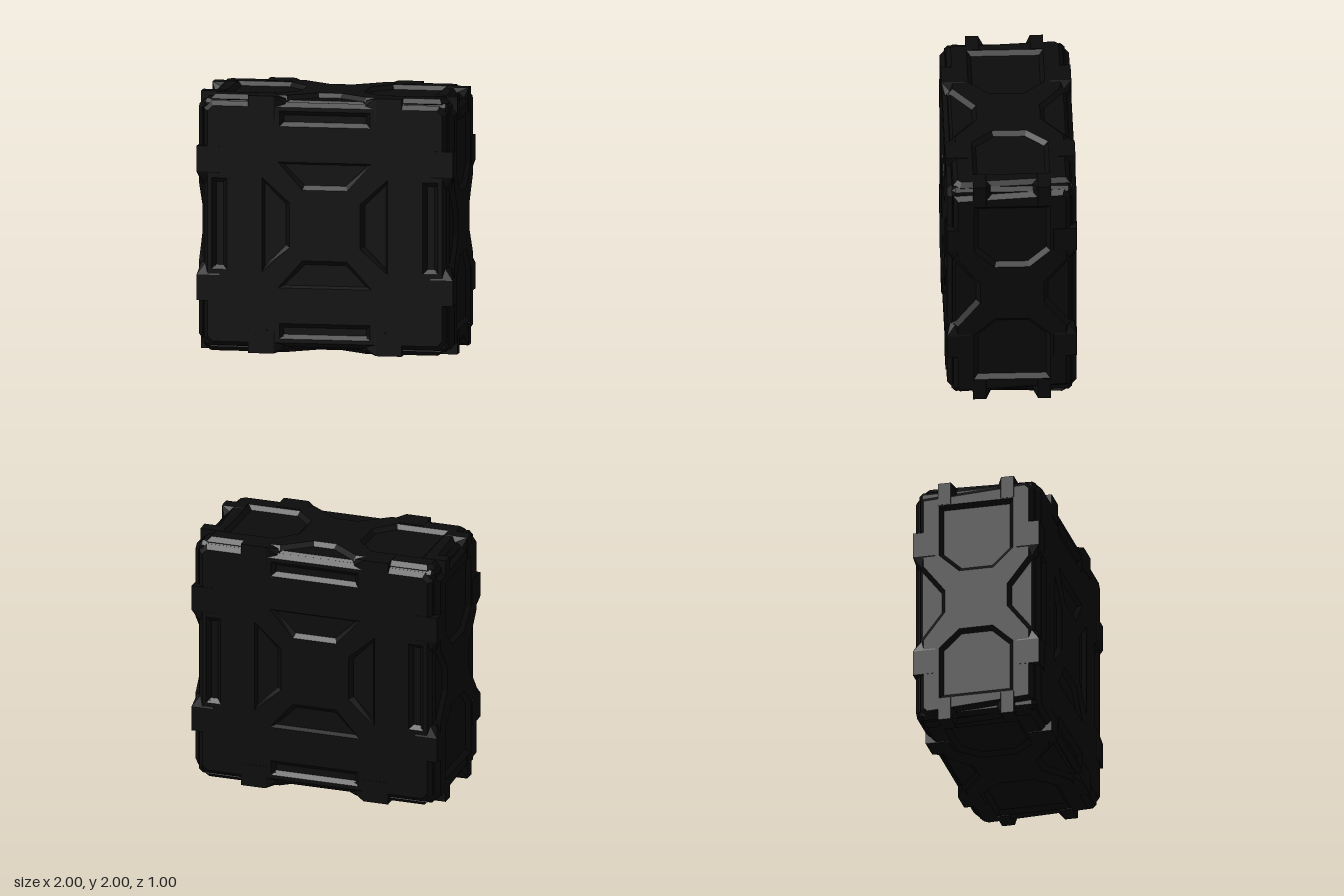
import * as THREE from 'three';
import { ConvexGeometry } from 'three/addons/geometries/ConvexGeometry.js';

const HALF = [1, 1, 0.5];   // half sizes of the block
const BEVEL = 0.035;        // depth and slope of the sunken panels

const toPoints = (pairs) => pairs.map(([x, y]) => new THREE.Vector2(x, y));
const turn = (pairs, angle) =>
  toPoints(pairs).map((p) => p.rotateAround(new THREE.Vector2(), angle));

// Armour plate whose rim and openings slope down to the core
function plateGeometry(outline, holes) {
  const shape = new THREE.Shape(outline);
  shape.holes = holes.map((h) => new THREE.Path(h));
  return new THREE.ExtrudeGeometry(shape, {
    depth: 0.001, bevelEnabled: true, bevelSegments: 1,
    bevelThickness: BEVEL, bevelSize: BEVEL, bevelOffset: -BEVEL,
  });
}

// Large square face: four trapezoid recesses around an X, each with an outer slot
function widePlate() {
  const e = 0.95, c = 0.89;
  const outline = toPoints([[-c, -e], [c, -e], [e, -c], [e, c], [c, e], [-c, e], [-e, c], [-e, -c]]);
  const trapezoid = [[-0.16, 0.31], [0.16, 0.31], [0.32, 0.47], [-0.32, 0.47]];
  const slot = [[-0.32, 0.8], [0.32, 0.8], [0.32, 0.85], [-0.32, 0.85]];
  const holes = [];
  for (let i = 0; i < 4; i++) {
    holes.push(turn(trapezoid, i * Math.PI / 2), turn(slot, i * Math.PI / 2));
  }
  return plateGeometry(outline, holes);
}

// Narrow face: a long recess at each end and a notch in each long edge
function narrowPlate() {
  const side = [[-0.9, -0.45], [-0.3, -0.45], [-0.08, -0.28], [0.08, -0.28],
    [0.3, -0.45], [0.9, -0.45], [0.95, -0.4]];
  const outline = [...toPoints(side), ...turn(side, Math.PI)];
  const recess = [[0.28, -0.12], [0.41, -0.26], [0.78, -0.26], [0.78, 0.26], [0.41, 0.26], [0.28, 0.12]];
  return plateGeometry(outline, [toPoints(recess), turn(recess, Math.PI)]);
}

// Chamfered block under the plates
function coreGeometry() {
  const points = [], inset = 0.036, chamfer = 0.03;
  for (const sx of [-1, 1]) for (const sy of [-1, 1]) for (const sz of [-1, 1]) {
    for (let axis = 0; axis < 3; axis++) {
      const p = HALF.map((h, k) => h - inset - (k === axis ? 0 : chamfer));
      points.push(new THREE.Vector3(sx * p[0], sy * p[1], sz * p[2]));
    }
  }
  return new ConvexGeometry(points);
}

// Edge clamp: square outer end, sloping away towards the middle of its edge
function clampGeometry(axis, along, su, sv) {
  const u = (axis + 1) % 3, v = (axis + 2) % 3, leg = 0.18;
  const [inner, outer] = axis === 2 ? [0.2, 0.3] : [0.4, 0.6];
  const foot = axis === 2 ? 0.15 : 0.26;
  const points = [];
  const add = (t, a, b) => {
    const p = [0, 0, 0];
    p[axis] = along * t;
    p[u] = su * (HALF[u] - a);
    p[v] = sv * (HALF[v] - b);
    points.push(new THREE.Vector3(...p));
  };
  for (const t of [inner, outer]) {
    for (const a of [0, leg]) for (const b of [0, leg]) add(t, a, b);
  }
  add(foot, 0.04, 0.1);
  add(foot, 0.1, 0.04);
  add(foot, 0.1, 0.1);
  return new ConvexGeometry(points);
}

export function createModel() {
  const model = new THREE.Group();
  model.name = 'armouredBlock';
  const body = new THREE.Group();
  body.name = 'block';
  body.position.y = 1;
  model.add(body);

  const black = new THREE.MeshStandardMaterial({ color: 0x0c0c0c });
  black.name = 'black metal';
  const add = (name, geometry, parent = body) => {
    const mesh = new THREE.Mesh(geometry, black);
    mesh.name = name;
    parent.add(mesh);
    return mesh;
  };

  add('core', coreGeometry());

  // Six face plates
  const q = Math.PI / 2;
  const wide = widePlate(), narrow = narrowPlate();
  const faces = [
    ['frontPlate', wide, 0.5, [0, 0, 0]],
    ['backPlate', wide, 0.5, [0, 2 * q, 0]],
    ['topPlate', narrow, 1, [-q, 0, 0]],
    ['bottomPlate', narrow, 1, [q, 0, 0]],
    ['leftPlate', narrow, 1, [0, q, q]],
    ['rightPlate', narrow, 1, [0, -q, q]],
  ];
  for (const [name, geometry, distance, angles] of faces) {
    const mesh = add(name, geometry);
    mesh.rotation.set(...angles);
    mesh.position.set(0, 0, distance - BEVEL - 0.004).applyEuler(mesh.rotation);
  }

  // Two clamps on each of the twelve edges
  const clamps = new THREE.Group();
  clamps.name = 'edgeClamps';
  body.add(clamps);
  for (let axis = 0; axis < 3; axis++) {
    for (const along of [-1, 1]) for (const su of [-1, 1]) for (const sv of [-1, 1]) {
      add('edgeClamp', clampGeometry(axis, along, su, sv), clamps);
    }
  }
  return model;
}
